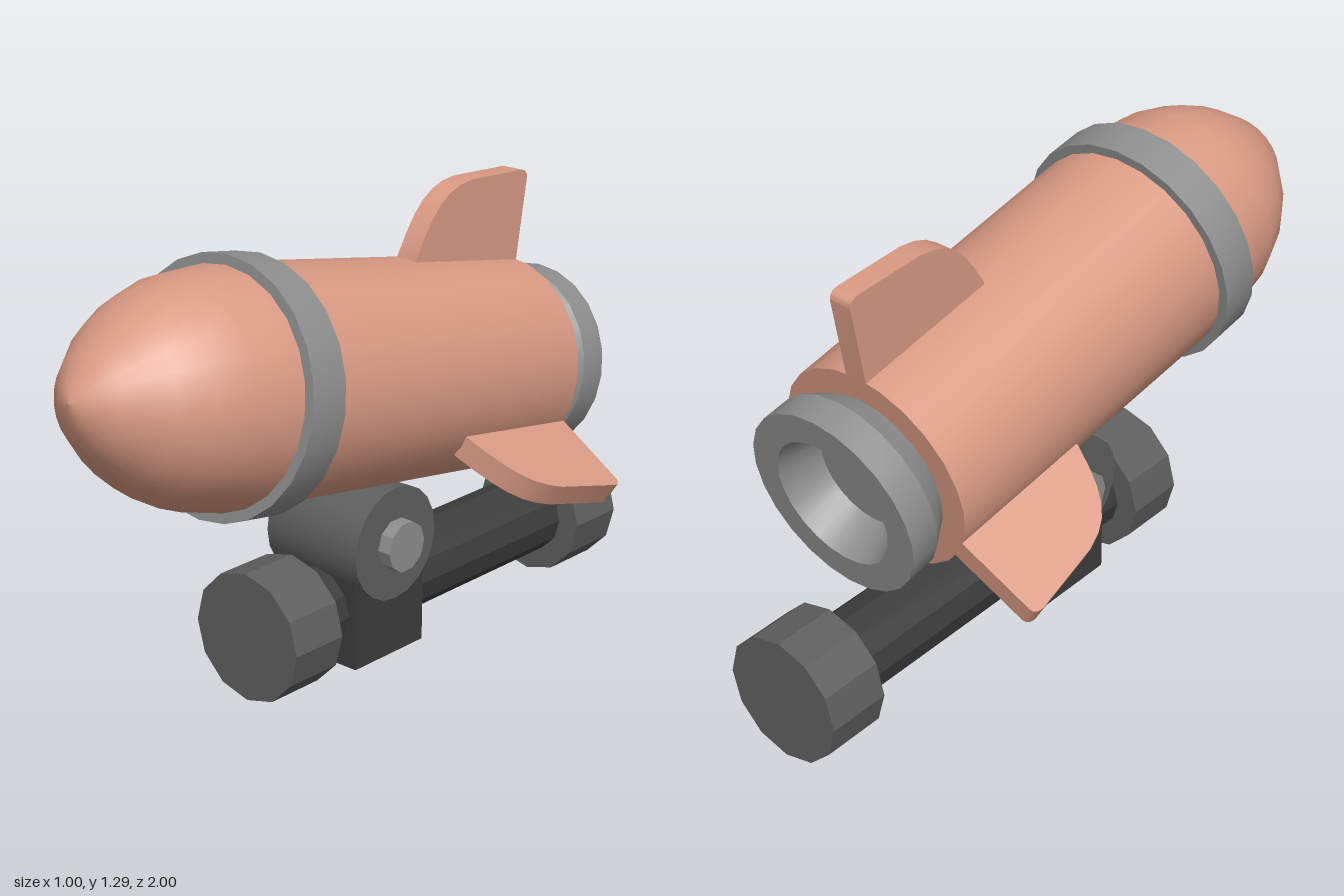
import * as THREE from 'three';
import { toCreasedNormals } from 'three/addons/utils/BufferGeometryUtils.js';

const mat = (name, color, extra = {}) => {
  const m = new THREE.MeshStandardMaterial({ color, ...extra });
  m.name = name;
  return m;
};

export function createModel() {
  const salmon = mat('salmon', 0xd99a84);
  const steel = mat('steel grey', 0x8e8e8e);
  const iron = mat('iron grey', 0x5f5f5f);
  const dark = mat('dark grey', 0x3d3d3d);

  const model = new THREE.Group();
  model.name = 'rocketOnStand';
  const add = (parent, name, geometry, material) => {
    const mesh = new THREE.Mesh(geometry, material);
    mesh.name = name;
    parent.add(mesh);
    return mesh;
  };

  // Rocket: local +z runs from the tail (0) to the nose tip, tilted upwards
  const rocket = new THREE.Group();
  rocket.name = 'rocket';
  rocket.position.set(0, 0.72, -0.627);
  rocket.rotation.x = -THREE.MathUtils.degToRad(10);
  model.add(rocket);

  // Profiles are [radius, distance along the axis]
  const turned = (profile, crease = 0.5) => {
    const g = new THREE.LatheGeometry(profile.map(([r, s]) => new THREE.Vector2(r, s)), 24);
    g.rotateX(Math.PI / 2);
    return crease ? toCreasedNormals(g, crease) : g;
  };

  add(rocket, 'body', turned([[0, 0], [0.305, 0], [0.322, 1.1]]), salmon);
  add(rocket, 'noseCone', turned([[0.322, 1.1], [0.32, 1.16], [0.3, 1.31], [0.262, 1.41],
    [0.213, 1.49], [0.125, 1.588], [0.045, 1.64], [0, 1.652]], 0), salmon);
  add(rocket, 'collar', turned([[0.31, 1.04], [0.348, 1.04], [0.348, 1.16], [0.31, 1.16]]), steel);
  add(rocket, 'nozzle', turned([[0, -0.04], [0.15, -0.04], [0.19, -0.16], [0.275, -0.16],
    [0.275, -0.07], [0.23, 0.0]]), steel);

  // Three fins around the tail
  const finShape = new THREE.Shape();
  finShape.moveTo(0, 0.28);
  finShape.lineTo(0.45, 0.28);
  finShape.lineTo(0.45, 0.315);
  finShape.bezierCurveTo(0.4, 0.45, 0.36, 0.51, 0.25, 0.534);
  finShape.lineTo(0.03, 0.56);
  finShape.quadraticCurveTo(0, 0.56, 0, 0.535);
  finShape.closePath();
  const thickness = 0.068;
  const finGeo = new THREE.ExtrudeGeometry(finShape, { depth: thickness, bevelEnabled: false, curveSegments: 6 });
  finGeo.translate(0, 0, -thickness / 2);
  finGeo.rotateY(-Math.PI / 2);
  const fin = toCreasedNormals(finGeo, 0.5);
  ['topFin', 'leftFin', 'rightFin'].forEach((name, i) => {
    add(rocket, name, fin, salmon).rotation.z = -i * Math.PI * 2 / 3;
  });

  // Stand: a horizontal bar with a heavy cap on each end
  const stand = new THREE.Group();
  stand.name = 'stand';
  model.add(stand);
  const rod = (radius, z0, z1) => {
    const g = new THREE.CylinderGeometry(radius, radius, z1 - z0, 12);
    g.rotateX(Math.PI / 2);
    g.translate(0, 0.186, (z0 + z1) / 2);
    return toCreasedNormals(g, 0.3);
  };
  add(stand, 'bar', rod(0.119, -0.9, 0.3), dark);
  add(stand, 'frontCap', rod(0.186, 0.23, 0.41), iron);
  add(stand, 'rearCap', rod(0.186, -1, -0.815), iron);

  // Pivot block, barrel and pin
  const block = new THREE.BoxGeometry(0.286, 0.34, 0.28);
  block.translate(0, 0.205, -0.01);
  add(stand, 'pivotBlock', block, dark);
  const cross = (radius, length, sides) => {
    const g = new THREE.CylinderGeometry(radius, radius, length, sides);
    g.rotateZ(Math.PI / 2);
    g.translate(0, 0.377, -0.01);
    return toCreasedNormals(g, 0.5);
  };
  add(stand, 'pivotBarrel', cross(0.164, 0.33, 20), iron);
  add(stand, 'pivotPin', cross(0.073, 0.41, 10), steel);

  return model;
}
